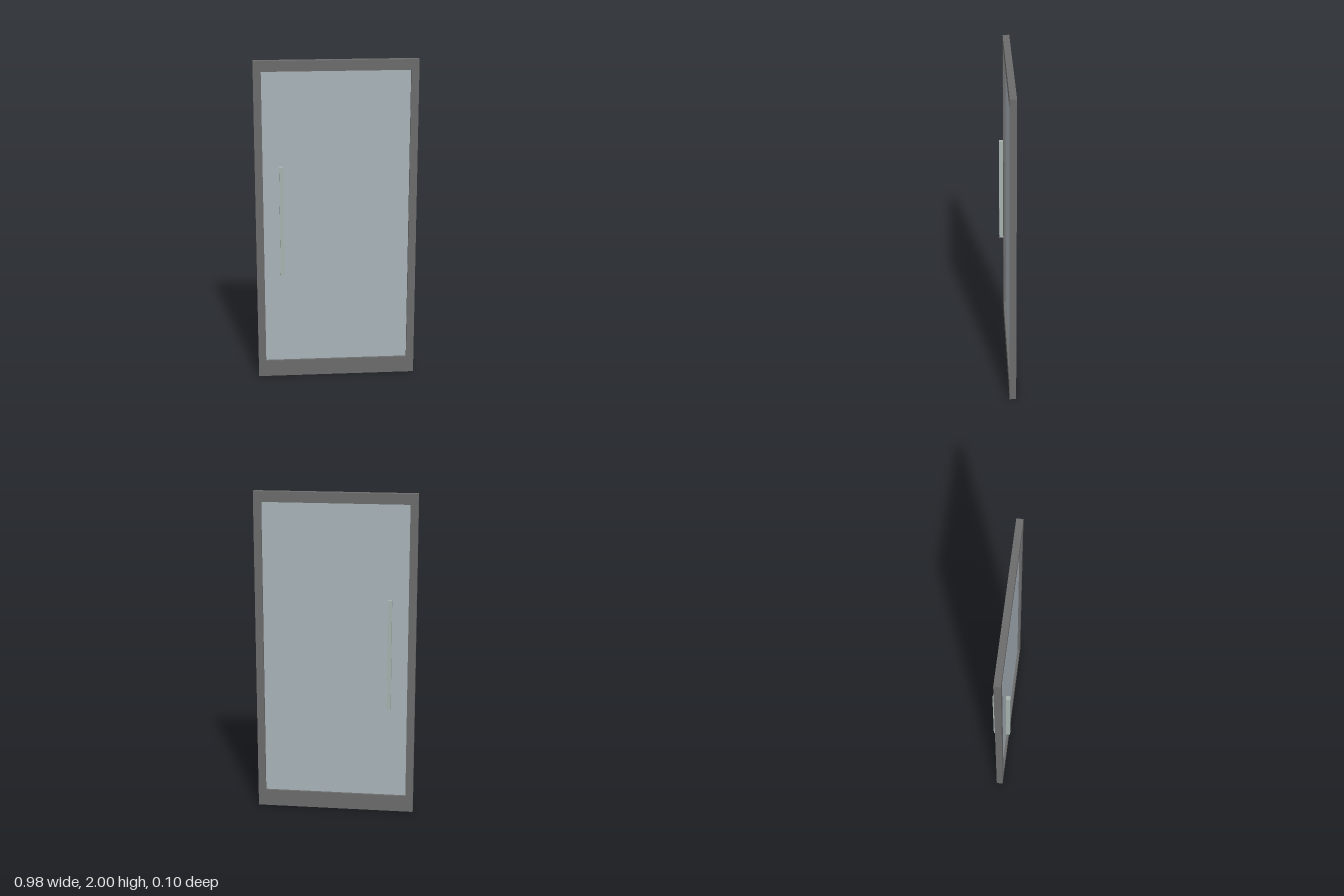
import * as THREE from 'three';

const flat = (name, color) => {
  const m = new THREE.MeshStandardMaterial({ color });
  m.name = name;
  return m;
};

export function createModel() {
  const frameGrey = flat('frame grey', 0x6b6b6b);
  const glassBlue = flat('glass blue grey', 0xa8b3b9);
  const handleGrey = flat('handle grey', 0xa6b2ae);

  const door = new THREE.Group();
  door.name = 'door';

  // Box placed by its x, y and z limits
  const box = (name, material, [x0, x1], [y0, y1], [z0, z1]) => {
    const mesh = new THREE.Mesh(new THREE.BoxGeometry(x1 - x0, y1 - y0, z1 - z0), material);
    mesh.position.set((x0 + x1) / 2, (y0 + y1) / 2, (z0 + z1) / 2);
    mesh.name = name;
    door.add(mesh);
  };

  // Frame: one rectangle with the glazed opening cut out, taller at the bottom
  const W = 0.489, D = 0.02, inX = 0.442, inY0 = 0.104, inY1 = 1.937;
  const outline = new THREE.Shape([[-W, 0], [W, 0], [W, 2], [-W, 2]].map(p => new THREE.Vector2(...p)));
  outline.holes.push(new THREE.Path(
    [[-inX, inY0], [-inX, inY1], [inX, inY1], [inX, inY0]].map(p => new THREE.Vector2(...p))));
  const frame = new THREE.Mesh(
    new THREE.ExtrudeGeometry(outline, { depth: 2 * D, bevelEnabled: false }), frameGrey);
  frame.position.z = -D;
  frame.name = 'frame';
  door.add(frame);

  // Glass pane set back in the frame
  box('glassPane', glassBlue, [-inX, inX], [inY0, inY1], [-0.005, 0.005]);

  // Square pull bar on each side of the door
  box('frontHandle', handleGrey, [-0.344, -0.32], [0.68, 1.366], [0.026, 0.051]);
  box('backHandle', handleGrey, [-0.344, -0.32], [0.68, 1.366], [-0.051, -0.026]);

  return door;
}
